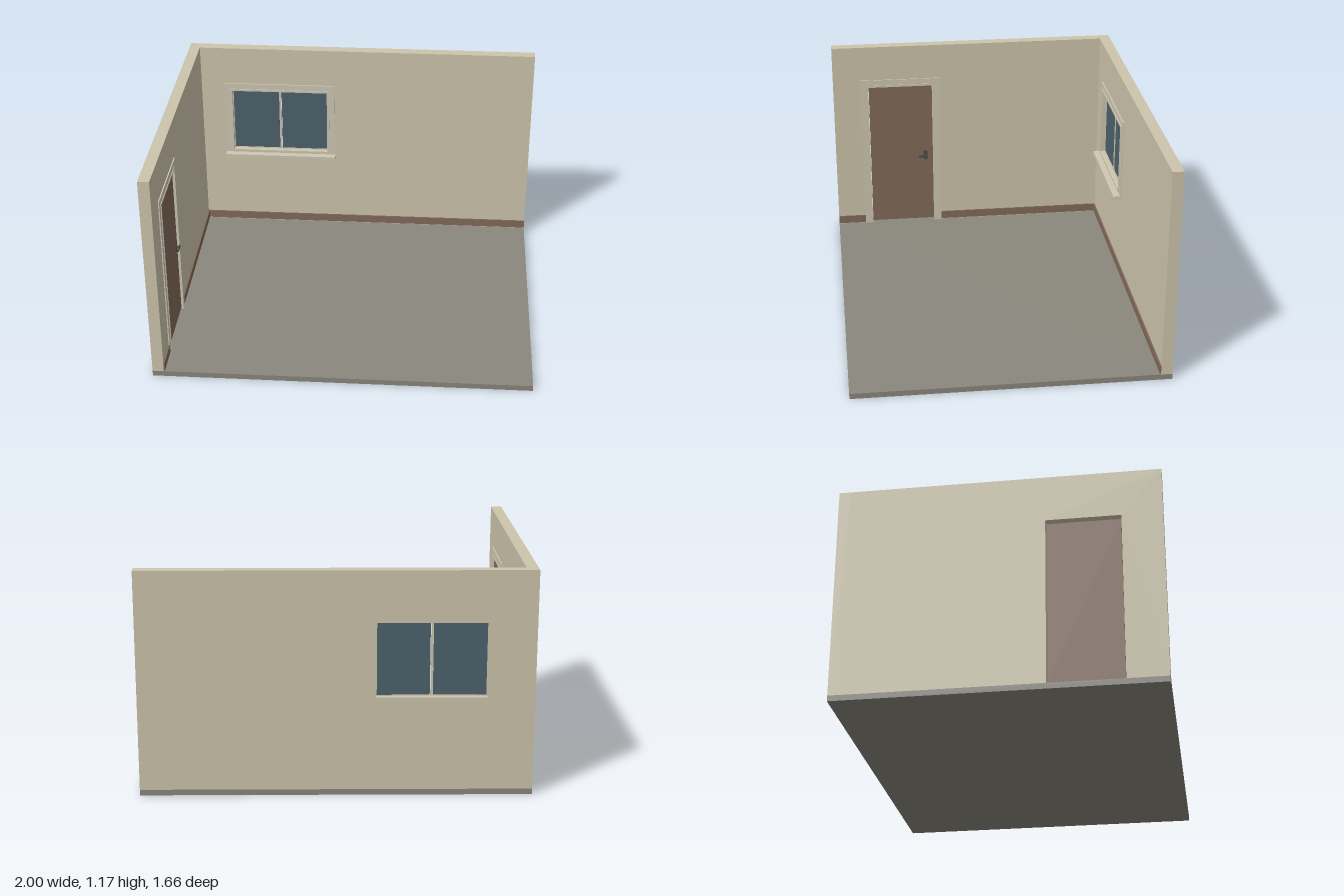
import * as THREE from 'three';

const mat = (name, color) => {
  const m = new THREE.MeshStandardMaterial({ color });
  m.name = name;
  return m;
};

export function createModel() {
  const wall = mat('wall cream', 0xcdc5ac);
  const trim = mat('trim cream', 0xcec8b3);
  const floorGrey = mat('floor grey', 0x8a877d);
  const wood = mat('brown wood', 0x826a5a);
  const glass = mat('window glass', 0x4e626c);
  const metal = mat('handle metal', 0x4c4a46);

  const room = new THREE.Group();
  room.name = 'room';
  const group = (name) => {
    const g = new THREE.Group();
    g.name = name;
    room.add(g);
    return g;
  };
  const add = (parent, name, geometry, material) => {
    const mesh = new THREE.Mesh(geometry, material);
    mesh.name = name;
    parent.add(mesh);
    return mesh;
  };
  // Box given by its lower and upper limits on each axis
  const box = (parent, name, material, x0, x1, y0, y1, z0, z1) => {
    const g = new THREE.BoxGeometry(x1 - x0, y1 - y0, z1 - z0);
    g.translate((x0 + x1) / 2, (y0 + y1) / 2, (z0 + z1) / 2);
    return add(parent, name, g, material);
  };
  const outline = (points, Type = THREE.Shape) => new Type(points.map(([x, y]) => new THREE.Vector2(x, y)));
  const rect = (x0, x1, y0, y1) => [[x0, y0], [x1, y0], [x1, y1], [x0, y1]];
  const slab = (shape, depth) => new THREE.ExtrudeGeometry(shape, { depth, bevelEnabled: false });
  // Turns a slab drawn in (z, y) so that its thickness runs toward -x from the given x
  const sideways = (geometry, x) => geometry.rotateY(-Math.PI / 2).translate(x, 0, 0);

  const H = 1.174, F = 0.03, X = -0.94, Z = -0.77, D = 0.83;
  const win = { x0: -0.76, x1: -0.2, y0: 0.52, y1: 0.907 };
  const door = { z0: 0.24, z1: 0.622, y1: 0.923 };

  box(room, 'floor', floorGrey, -1, 1, 0, F, -D, D);

  // Back wall with window opening
  const back = outline(rect(-1, 1, F, H));
  back.holes.push(outline(rect(win.x0, win.x1, win.y0, win.y1), THREE.Path));
  add(room, 'backWall', slab(back, 0.06).translate(0, 0, -D), wall);

  // Side wall with door opening
  const side = outline([[Z, F], [door.z0, F], [door.z0, door.y1], [door.z1, door.y1],
    [door.z1, F], [D, F], [D, H], [Z, H]]);
  add(room, 'sideWall', sideways(slab(side, 0.06), X), wall);

  // Skirting boards
  const skirting = group('skirting');
  box(skirting, 'backSkirting', wood, X, 1, 0.036, 0.082, Z, Z + 0.007);
  box(skirting, 'sideSkirtingRear', wood, X, X + 0.007, 0.036, 0.082, Z + 0.007, 0.196);
  box(skirting, 'sideSkirtingFront', wood, X, X + 0.007, 0.036, 0.082, 0.667, D);

  // Window: stepped casing, sash, panes and sill
  const window_ = group('window');
  const casing = (edge, depth) => {
    const s = outline(rect(win.x0 - edge, win.x1 + edge, win.y0 - edge, win.y1 + edge));
    s.holes.push(outline(rect(win.x0, win.x1, win.y0, win.y1), THREE.Path));
    return slab(s, depth).translate(0, 0, Z);
  };
  add(window_, 'windowCasing', casing(0.045, 0.007), trim);
  add(window_, 'windowCasingStep', casing(0.012, 0.012), trim);
  const mid = (win.x0 + win.x1) / 2;
  for (const [name, x0, x1] of [['leftPane', win.x0, mid - 0.005], ['rightPane', mid + 0.005, win.x1]]) {
    box(window_, name, glass, x0 + 0.004, x1 - 0.002, win.y0 + 0.004, win.y1 - 0.004, -0.796, -0.79);
  }
  const sash = outline(rect(win.x0, win.x1, win.y0, win.y1));
  for (const [x0, x1] of [[win.x0 + 0.004, mid - 0.006], [mid + 0.006, win.x1 - 0.004]]) {
    sash.holes.push(outline(rect(x0, x1, win.y0 + 0.004, win.y1 - 0.004), THREE.Path));
  }
  add(window_, 'windowSash', slab(sash, 0.014).translate(0, 0, -0.8), trim);
  box(window_, 'windowSill', trim, -0.808, -0.152, 0.483, 0.501, Z, -0.725);
  box(window_, 'sillApron', trim, -0.8, -0.16, 0.474, 0.483, Z, -0.758);

  // Door: stepped casing, leaf and lever handle
  const doorway = group('door');
  const surround = (edge, depth) => sideways(slab(outline([
    [door.z0 - edge, F], [door.z0, F], [door.z0, door.y1], [door.z1, door.y1], [door.z1, F],
    [door.z1 + edge, F], [door.z1 + edge, door.y1 + edge], [door.z0 - edge, door.y1 + edge],
  ]), depth), X + depth);
  add(doorway, 'doorCasing', surround(0.045, 0.006), trim);
  add(doorway, 'doorCasingStep', surround(0.012, 0.009), trim);
  box(doorway, 'doorLeaf', wood, -0.966, -0.944, 0.041, door.y1 - 0.003, door.z0 + 0.003, door.z1 - 0.003);
  const handle = new THREE.Group();
  handle.name = 'doorHandle';
  doorway.add(handle);
  box(handle, 'handlePlate', metal, -0.944, -0.94, 0.44, 0.495, 0.277, 0.299);
  box(handle, 'handleStem', metal, -0.94, -0.923, 0.462, 0.473, 0.282, 0.293);
  box(handle, 'handleLever', metal, -0.926, -0.919, 0.462, 0.473, 0.276, 0.332);

  return room;
}
